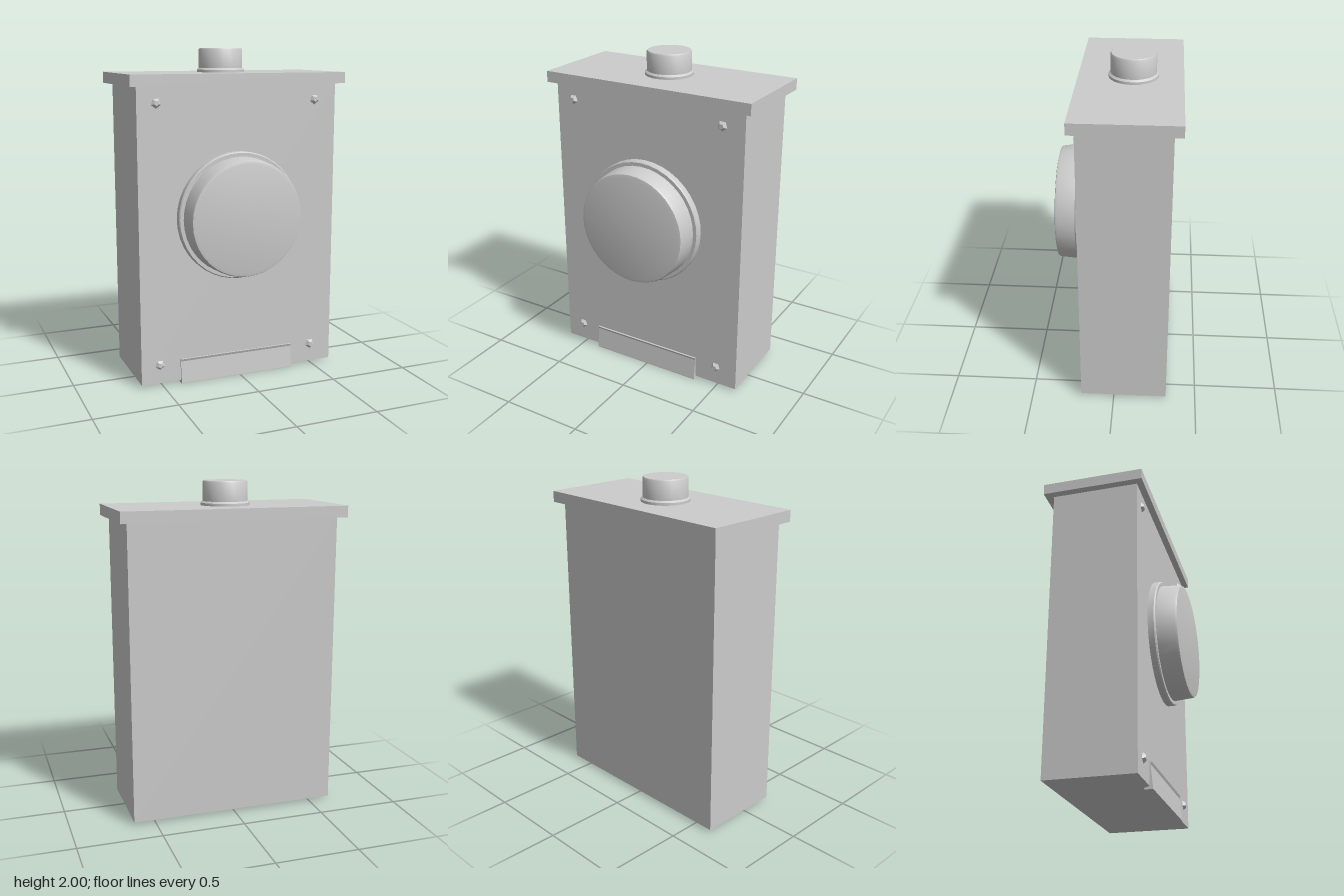
import * as THREE from 'three';
import { toCreasedNormals } from 'three/addons/utils/BufferGeometryUtils.js';

const grey = new THREE.MeshStandardMaterial({ color: 0xcccccc });
const thin = new THREE.MeshStandardMaterial({ color: 0xcccccc, side: THREE.DoubleSide });

function add(group, name, geometry, material = grey) {
  const mesh = new THREE.Mesh(geometry, material);
  mesh.name = name;
  group.add(mesh);
  return mesh;
}

// Box given by its minimum and maximum corners
function box(x0, x1, y0, y1, z0, z1) {
  return new THREE.BoxGeometry(x1 - x0, y1 - y0, z1 - z0)
    .translate((x0 + x1) / 2, (y0 + y1) / 2, (z0 + z1) / 2);
}

// Turned part from [radius, height] pairs, listed from the bottom up
function turned(points, sides) {
  const profile = points.map(([r, h]) => new THREE.Vector2(r, h));
  return toCreasedNormals(new THREE.LatheGeometry(profile, sides), 0.7);
}

export function createModel() {
  const group = new THREE.Group();

  // Cabinet and overhanging lid
  add(group, 'cabinet', box(-0.63, 0.63, 0.02, 1.79, -0.32, 0.2));
  add(group, 'lid', box(-0.675, 0.675, 1.79, 1.857, -0.37, 0.24));

  // Pipe stub on the lid, with a small collar
  const stub = turned([
    [0.145, 0], [0.145, 0.015], [0.133, 0.025], [0.133, 0.135], [0.128, 0.143], [0, 0.143],
  ], 24);
  add(group, 'topStub', stub).position.set(-0.013, 1.857, -0.08);

  // Round meter facing the front: flange, then a drum with a softened rim
  const meter = new THREE.Group();
  meter.name = 'meter';
  meter.position.set(-0.015, 1.018, 0.2);
  meter.rotation.x = Math.PI / 2;
  add(meter, 'meterFlange', turned([
    [0.384, 0], [0.384, 0.036], [0.378, 0.043], [0.355, 0.043],
  ], 40));
  add(meter, 'meterDrum', turned([
    [0.357, 0.03], [0.348, 0.15], [0.342, 0.163], [0.325, 0.167], [0, 0.167],
  ], 40));
  group.add(meter);

  // Faceted rivets at the corners of the front
  for (const x of [-0.515, 0.49]) {
    for (const y of [0.135, 1.695]) {
      const rivet = new THREE.CylinderGeometry(0.016, 0.032, 0.018, 5).rotateX(Math.PI / 2);
      rivet.computeVertexNormals();
      add(group, 'rivet', toCreasedNormals(rivet, 0.3)).position.set(x, y, 0.208);
    }
  }

  // Pull at the bottom edge: a sloping plate with a top ridge and a lower lip
  const section = new THREE.Shape([
    [0.195, 0.155], [0.212, 0.155], [0.206, 0.14], [0.219, 0.008],
    [0.219, 0.003], [0.17, 0.003], [0.17, 0.012], [0.195, 0.02],
  ].map(([z, y]) => new THREE.Vector2(-z, y)));
  const pull = new THREE.ExtrudeGeometry(section, { depth: 0.735, bevelEnabled: false })
    .rotateY(Math.PI / 2).translate(-0.385, 0, 0);
  pull.computeVertexNormals();
  add(group, 'pull', pull, thin);

  return group;
}
